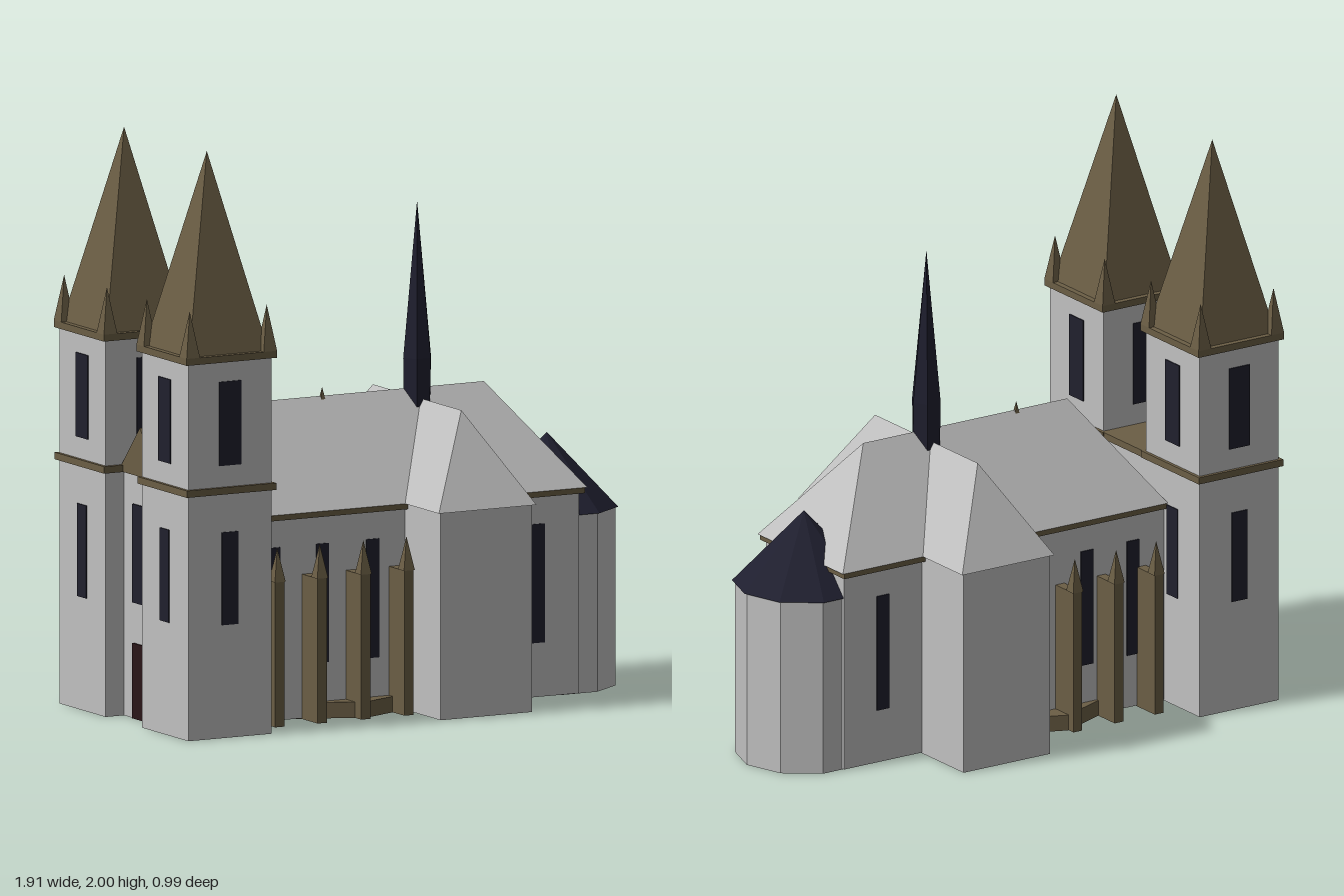
import * as THREE from 'three';
import { ConvexGeometry } from 'three/addons/geometries/ConvexGeometry.js';

const paint = (name, color) => {
  const m = new THREE.MeshStandardMaterial({ color });
  m.name = name;
  return m;
};

export function createModel() {
  const stone = paint('pale stone', 0xc0c0c0);
  const trim = paint('brown trim', 0x6b5e45);
  const slate = paint('dark slate', 0x1f1f2f);
  const glass = paint('dark glass', 0x20202d);
  const wood = paint('door wood', 0x2a1518);
  const model = new THREE.Group();
  model.name = 'church';

  const add = (name, geo, mat, parent = model) => {
    const mesh = new THREE.Mesh(geo, mat);
    mesh.name = name;
    parent.add(mesh);
    return mesh;
  };
  // Box given by its limits on each axis
  const box = (name, mat, x0, x1, y0, y1, z0, z1, parent) =>
    add(name, new THREE.BoxGeometry(x1 - x0, y1 - y0, z1 - z0)
      .translate((x0 + x1) / 2, (y0 + y1) / 2, (z0 + z1) / 2), mat, parent);
  // Faceted prism or cone with flat normals
  const facet = (name, mat, rTop, rBottom, sides, turn, x, y0, y1, z, parent) => {
    const geo = new THREE.CylinderGeometry(rTop, rBottom, y1 - y0, sides)
      .rotateY(turn).translate(x, (y0 + y1) / 2, z).toNonIndexed();
    geo.computeVertexNormals();
    return add(name, geo, mat, parent);
  };
  const pyramid = (name, mat, half, x, y0, y1, z, parent) =>
    facet(name, mat, 0, half * Math.SQRT2, 4, Math.PI / 4, x, y0, y1, z, parent);
  const hull = (name, mat, points) =>
    add(name, new ConvexGeometry(points.map(p => new THREE.Vector3(...p))), mat);

  // Nave with eaves band and hipped roof
  box('naveWalls', stone, -0.63, 0.7, 0.003, 0.7, -0.235, 0.235);
  box('eavesBand', trim, -0.62, 0.712, 0.695, 0.714, -0.255, 0.255);
  hull('naveRoof', stone, [
    [-0.62, 0.715, -0.258], [-0.62, 0.715, 0.258], [0.72, 0.715, -0.258], [0.72, 0.715, 0.258],
    [-0.38, 1.065, 0], [0.46, 1.065, 0]]);

  // Transept crossing the nave
  box('transeptWalls', stone, 0.022, 0.378, 0, 0.715, -0.485, 0.485);
  hull('transeptRoof', stone, [
    [0.01, 0.715, -0.495], [0.39, 0.715, -0.495], [0.01, 0.715, 0.495], [0.39, 0.715, 0.495],
    [0.2, 1.03, -0.31], [0.2, 1.03, 0.31]]);

  // Ten-sided apse
  facet('apseWalls', stone, 0.235, 0.235, 10, Math.PI / 2, 0.705, 0, 0.62, 0);
  facet('apseRoof', slate, 0, 0.245, 10, Math.PI / 2, 0.705, 0.617, 0.87, 0);

  // Slender spire over the crossing
  facet('crossingSpireBase', slate, 0.054, 0.05, 6, Math.PI / 6, 0.2, 0.95, 1.17, 0);
  facet('crossingSpire', slate, 0, 0.054, 6, Math.PI / 6, 0.2, 1.17, 1.71, 0);

  // Octagonal plinth under the nave, with its finial above the ridge
  facet('plinth', trim, 0.315, 0.315, 8, 0, -0.17, 0, 0.055, 0);
  pyramid('ridgeFinial', trim, 0.009, -0.17, 1.05, 1.095, 0);
  box('plinthBlock', wood, -0.17, -0.13, 0.055, 0.13, 0.235, 0.255);

  for (const s of [1, -1]) {
    // Mirrored pair of limits on the z axis
    const side = (name, mat, x0, x1, y0, y1, z0, z1) =>
      box(name, mat, x0, x1, y0, y1, Math.min(s * z0, s * z1), Math.max(s * z0, s * z1));

    // Nave windows
    for (const x of [-0.49, -0.3, -0.105, 0.54])
      side('naveWindow', glass, x - 0.025, x + 0.025, 0.19, 0.6, 0.234, 0.239);

    // Buttresses with pinnacles
    for (const x of [-0.525, -0.36, -0.19, -0.022]) {
      side('buttress', trim, x - 0.018, x + 0.018, 0, 0.5, 0.23, 0.343);
      pyramid('buttressPinnacle', trim, 0.021, x, 0.5, 0.615, s * 0.325);
    }

    // Tower
    const tower = new THREE.Group();
    tower.name = s > 0 ? 'frontTower' : 'backTower';
    tower.position.set(-0.78, 0, s * 0.29);
    model.add(tower);
    const slab = (name, mat, h, y0, y1) => box(name, mat, -h, h, y0, y1, -h, h, tower);
    slab('towerWalls', stone, 0.162, 0, 1.3);
    slab('stringCourse', trim, 0.174, 0.842, 0.866);
    slab('cornice', trim, 0.176, 1.298, 1.322);
    pyramid('towerSpire', trim, 0.155, 0, 1.322, 2, 0, tower);
    for (const cx of [-0.15, 0.15]) for (const cz of [-0.15, 0.15])
      pyramid('cornerPinnacle', trim, 0.026, cx, 1.322, 1.48, cz, tower);
    for (let i = 0; i < 4; i++) {
      const face = new THREE.Group();
      face.name = 'towerWindows';
      face.rotation.y = i * Math.PI / 2;
      tower.add(face);
      box('lowerWindow', glass, -0.032, 0.032, 0.39, 0.71, 0.16, 0.166, face);
      box('upperWindow', glass, -0.042, 0.042, 0.94, 1.23, 0.16, 0.166, face);
    }
  }

  // Entrance bay between the towers
  box('entranceWall', stone, -0.87, -0.62, 0, 0.842, -0.135, 0.135);
  box('entranceCornice', trim, -0.88, -0.61, 0.842, 0.866, -0.135, 0.135);
  hull('entranceGable', trim, [
    [-0.88, 0.866, -0.128], [-0.88, 0.866, 0.128], [-0.88, 1.01, 0],
    [-0.86, 0.866, -0.128], [-0.86, 0.866, 0.128], [-0.86, 1.01, 0]]);
  box('entranceWindow', glass, -0.876, -0.869, 0.4, 0.74, -0.06, 0.06);
  box('entranceDoor', wood, -0.876, -0.869, 0, 0.26, -0.06, 0.06);

  return model;
}
